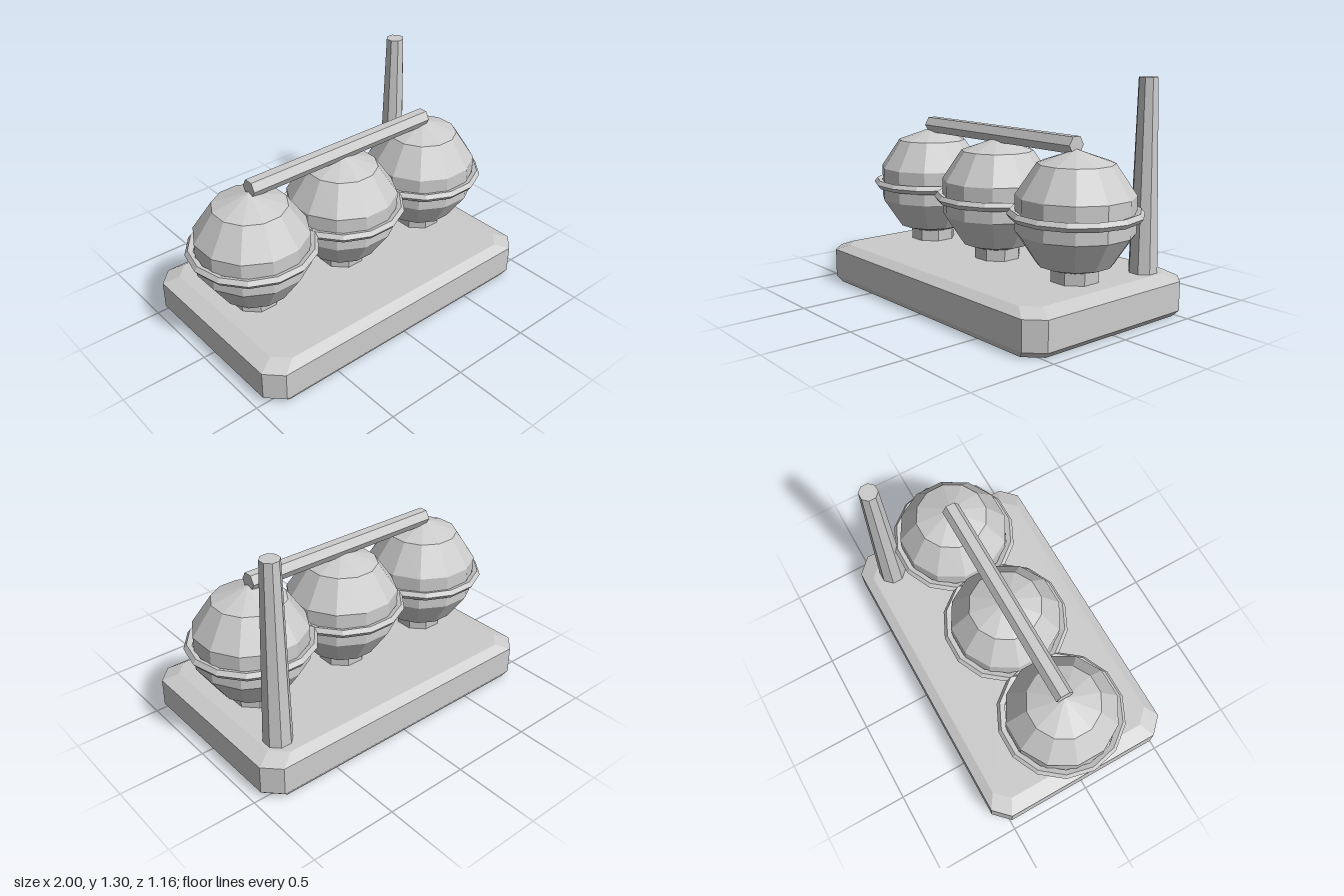
import * as THREE from 'three';

// Stack of scaled copies of one outline, closed at both ends
function loftOutline(outline, levels) {
  const pos = [], index = [], n = outline.length;
  for (const [y, s] of levels) for (const [x, z] of outline) pos.push(x * s, y, z * s);
  for (let l = 0; l < levels.length - 1; l++) {
    for (let i = 0; i < n; i++) {
      const a = l * n + i, b = l * n + (i + 1) % n;
      index.push(a, b, b + n, a, b + n, a + n);
    }
  }
  const top = (levels.length - 1) * n;
  for (let i = 1; i < n - 1; i++) {
    index.push(0, i + 1, i);
    index.push(top, top + i, top + i + 1);
  }
  const g = new THREE.BufferGeometry();
  g.setAttribute('position', new THREE.Float32BufferAttribute(pos, 3));
  g.setIndex(index);
  const flat = g.toNonIndexed();
  flat.computeVertexNormals();
  return flat;
}

export function createModel() {
  const model = new THREE.Group();
  const grey = new THREE.MeshStandardMaterial({ color: 0xcccccc });
  grey.name = 'plain grey';
  grey.flatShading = true;

  const add = (name, geometry, x = 0, y = 0, z = 0, parent = model) => {
    const mesh = new THREE.Mesh(geometry, grey);
    mesh.name = name;
    mesh.position.set(x, y, z);
    parent.add(mesh);
    return mesh;
  };

  // Chamfered slab with cut corners (outline runs anticlockwise seen from above)
  const X = 0.95, Z = 0.58, c = 0.09;
  const outline = [
    [X, Z - c], [X, -Z + c], [X - c, -Z], [-X + c, -Z],
    [-X, -Z + c], [-X, Z - c], [-X + c, Z], [X - c, Z],
  ];
  add('base', loftOutline(outline, [[0, 0.965], [0.035, 1], [0.2, 1], [0.235, 0.905]]));

  // Three faceted tanks, each with a foot and a belt
  const sides = 12;
  const profile = [[0, 0.257], [0.207, 0.326], [0.32, 0.495], [0.32, 0.694], [0.207, 0.862], [0, 0.935]]
    .map(([r, y]) => new THREE.Vector2(r, y));
  const tankGeometry = new THREE.LatheGeometry(profile, sides, Math.PI / sides);
  const footGeometry = new THREE.CylinderGeometry(0.14, 0.134, 0.12, 8).rotateY(Math.PI / 8);
  const beltGeometry = new THREE.TorusGeometry(0.34, 0.026, 5, 14).rotateX(Math.PI / 2);
  ['right', 'middle', 'left'].forEach((side, i) => {
    const unit = new THREE.Group();
    unit.name = side + 'Tank';
    unit.position.x = (i - 1) * 0.634;
    add('tankBody', tankGeometry, 0, 0, 0, unit);
    add('foot', footGeometry, 0, 0.27, 0, unit);
    add('belt', beltGeometry, 0, 0.595, 0, unit);
    model.add(unit);
  });

  // Six-sided pipe joining the tank tops, flat side up
  const pipe = new THREE.CylinderGeometry(0.052, 0.052, 1.268, 6).rotateZ(Math.PI / 2);
  add('topPipe', pipe, 0, 0.955, 0);

  // Tapered chimney at the back left corner
  const chimney = new THREE.CylinderGeometry(0.054, 0.083, 1.08, 8).rotateY(Math.PI / 8);
  add('chimney', chimney, 0.765, 0.757, -0.398);

  return model;
}
